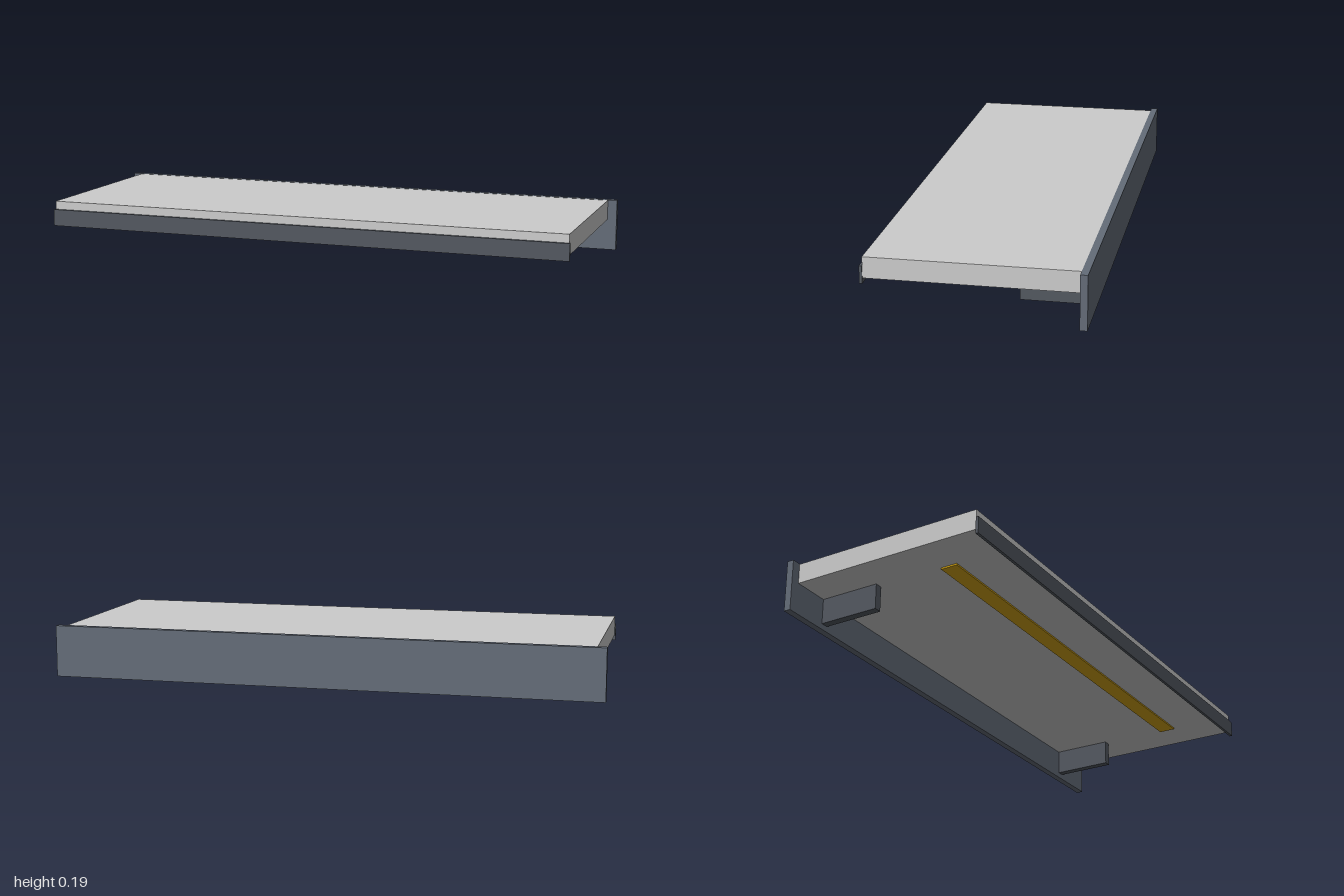
import * as THREE from 'three';

const material = (color) => new THREE.MeshStandardMaterial({ color });

export function createModel() {
  const group = new THREE.Group();
  const grey = material(0xcccccc);
  const steel = material(0x646c78);
  const darkSteel = material(0x535860);
  const yellow = material(0xd4a514);

  // Box given by its lower and upper limits on each axis
  const addBox = (name, mat, [x0, x1], [y0, y1], [z0, z1]) => {
    const mesh = new THREE.Mesh(new THREE.BoxGeometry(x1 - x0, y1 - y0, z1 - z0), mat);
    mesh.position.set((x0 + x1) / 2, (y0 + y1) / 2, (z0 + z1) / 2);
    mesh.name = name;
    group.add(mesh);
  };

  // Shelf board with a trim along its front edge
  addBox('shelfBoard', grey, [-0.966, 0.966], [0.114, 0.187], [-0.349, 0.364]);
  addBox('frontTrim', darkSteel, [-0.97, 0.97], [0.096, 0.157], [0.364, 0.374]);

  // Wall plate behind the board
  addBox('backPlate', steel, [-1, 1], [0, 0.188], [-0.374, -0.349]);

  // Light strip under the board
  addBox('lightStrip', yellow, [-0.81, 0.81], [0.108, 0.114], [0.126, 0.188]);

  // Support brackets, mirrored
  addBox('leftBracket', darkSteel, [0.8, 0.828], [0.021, 0.114], [-0.349, -0.125]);
  addBox('rightBracket', darkSteel, [-0.828, -0.8], [0.021, 0.114], [-0.349, -0.125]);

  return group;
}
